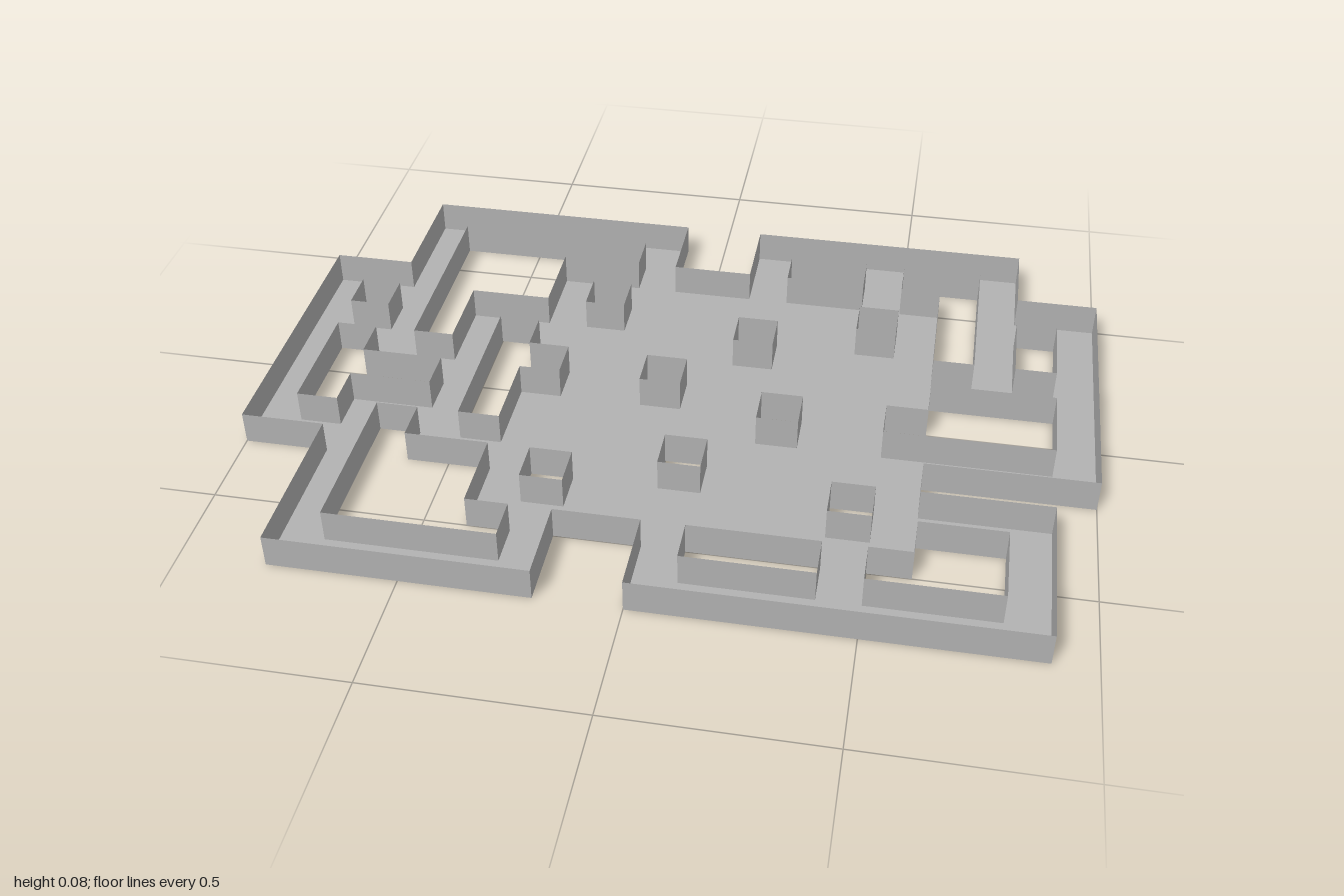
import * as THREE from 'three';

const CELL = 0.1;
const HEIGHT = 0.08;

// Floor plan, back row first: # is floor, . is open
const PLAN = [
  '..#######..#######..',
  '..#.....#..#..#..#..',
  '..#...##########.###',
  '###...#.######.#.#.#',
  '#.#.#######.####.#.#',
  '###.#.##############',
  '#.###..##.######...#',
  '#...#.######.##....#',
  '#.###.##############',
  '###.######.#####....',
  '..#...#.######.####.',
  '..#...##########..#.',
  '..#....#..#...#...#.',
  '..######..#########.',
];
const COLS = PLAN[0].length;
const ROWS = PLAN.length;
const isFloor = (c, r) => PLAN[r]?.[c] === '#';
const px = (c) => (c - COLS / 2) * CELL;
const pz = (r) => (r - ROWS / 2) * CELL;

// Calls emit(start, end) for each unbroken run where test(i) holds
function runs(count, test, emit) {
  let start = -1;
  for (let i = 0; i <= count; i++) {
    const on = i < count && test(i);
    if (on && start < 0) start = i;
    if (!on && start >= 0) {
      emit(start, i);
      start = -1;
    }
  }
}

// Flat-shaded geometry from a list of four-cornered faces
function quadGeometry(quads) {
  const positions = [];
  for (const [a, b, c, d] of quads) positions.push(...a, ...b, ...c, ...a, ...c, ...d);
  const geometry = new THREE.BufferGeometry();
  geometry.setAttribute('position', new THREE.Float32BufferAttribute(positions, 3));
  geometry.computeVertexNormals();
  return geometry;
}

// Upright panel between two floor points, facing right of the path a -> b
function panel(ax, az, bx, bz) {
  return [[ax, 0, az], [bx, 0, bz], [bx, HEIGHT, bz], [ax, HEIGHT, az]];
}

export function createModel() {
  const group = new THREE.Group();
  group.name = 'mazeTile';
  const stone = new THREE.MeshStandardMaterial({ color: 0xb2b2b2, side: THREE.DoubleSide });
  stone.name = 'stone grey';

  // Floor strips, one per run of cells
  const floor = [];
  for (let r = 0; r < ROWS; r++) {
    runs(COLS, (c) => isFloor(c, r), (s, e) => {
      floor.push([
        [px(s), 0, pz(r)], [px(s), 0, pz(r + 1)],
        [px(e), 0, pz(r + 1)], [px(e), 0, pz(r)],
      ]);
    });
  }

  // Thin walls wherever floor meets an opening
  const walls = [];
  for (let r = 0; r <= ROWS; r++) {
    runs(COLS, (c) => isFloor(c, r - 1) && !isFloor(c, r),
      (s, e) => walls.push(panel(px(s), pz(r), px(e), pz(r))));
    runs(COLS, (c) => !isFloor(c, r - 1) && isFloor(c, r),
      (s, e) => walls.push(panel(px(e), pz(r), px(s), pz(r))));
  }
  for (let c = 0; c <= COLS; c++) {
    runs(ROWS, (r) => isFloor(c - 1, r) && !isFloor(c, r),
      (s, e) => walls.push(panel(px(c), pz(e), px(c), pz(s))));
    runs(ROWS, (r) => !isFloor(c - 1, r) && isFloor(c, r),
      (s, e) => walls.push(panel(px(c), pz(s), px(c), pz(e))));
  }

  for (const [name, quads] of [['floor', floor], ['walls', walls]]) {
    const mesh = new THREE.Mesh(quadGeometry(quads), stone);
    mesh.name = name;
    group.add(mesh);
  }
  return group;
}
